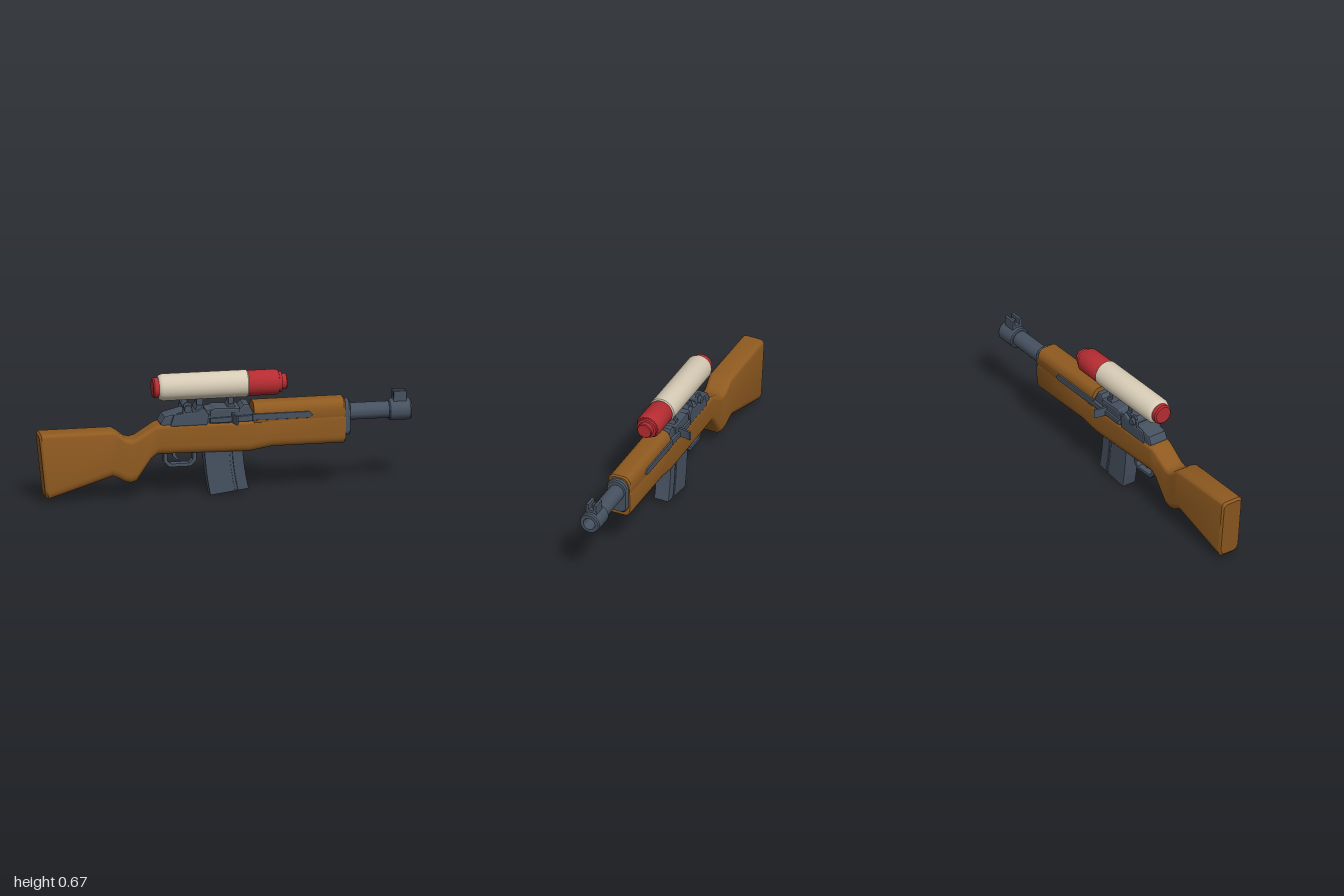
import * as THREE from 'three';
import { toCreasedNormals } from 'three/addons/utils/BufferGeometryUtils.js';

const material = (name, color) => {
  const m = new THREE.MeshStandardMaterial({ color });
  m.name = name;
  return m;
};

// Skins rounded sections along x. Station: [xTop, yTop, xBottom, yBottom, halfWidth]
function loft(stations, top, bottom, steps = 6) {
  const pos = [], idx = [];
  const corners = [[1, 1], [-1, 1], [-1, -1], [1, -1]];
  const n = corners.length * (steps + 1);
  for (const [xt, yt, xb, yb, w] of stations) {
    corners.forEach(([sz, sy], c) => {
      const [rz, ry] = sy > 0 ? top : bottom;
      for (let k = 0; k <= steps; k++) {
        const a = (c + k / steps) * Math.PI / 2;
        const z = sz * (w - rz) + rz * Math.cos(a);
        const y = (sy > 0 ? yt - ry : yb + ry) + ry * Math.sin(a);
        pos.push(xb + (xt - xb) * (y - yb) / (yt - yb), y, z);
      }
    });
  }
  const last = (stations.length - 1) * n;
  for (let i = 0; i < last; i += n) {
    for (let j = 0; j < n; j++) {
      const k = (j + 1) % n;
      idx.push(i + j, i + n + j, i + n + k, i + j, i + n + k, i + k);
    }
  }
  for (let j = 1; j < n - 1; j++) idx.push(0, j, j + 1, last, last + j + 1, last + j);
  const g = new THREE.BufferGeometry();
  g.setAttribute('position', new THREE.Float32BufferAttribute(pos, 3));
  g.setIndex(idx);
  return toCreasedNormals(g, 0.6);
}

// Round part turned about the x axis. Points: [x, radius]
function turned(points, y) {
  const g = new THREE.LatheGeometry(points.map(([x, r]) => new THREE.Vector2(r, x)), 40);
  g.rotateZ(-Math.PI / 2).translate(0, y, 0);
  return toCreasedNormals(g, 0.6);
}

// Side outline in xy, extruded evenly about a given z
function slab(points, half, bevel = 0.004, z = 0) {
  const shape = new THREE.Shape(points.map(([x, y]) => new THREE.Vector2(x, y)));
  const g = new THREE.ExtrudeGeometry(shape, {
    depth: 2 * (half - bevel), bevelEnabled: bevel > 0, bevelThickness: bevel,
    bevelSize: bevel, bevelOffset: -bevel, bevelSegments: 2, curveSegments: 8,
  });
  return g.translate(0, 0, z - half + bevel);
}

const box = (x0, x1, y0, y1, z0, z1) =>
  new THREE.BoxGeometry(x1 - x0, y1 - y0, z1 - z0)
    .translate((x0 + x1) / 2, (y0 + y1) / 2, (z0 + z1) / 2);

export function createModel() {
  const wood = material('wood brown', 0x8f5a20);
  const steel = material('blue grey', 0x465160);
  const cream = material('cream', 0xd6cbb5);
  const red = material('red', 0xb52c31);
  const model = new THREE.Group();
  const add = (name, geometry, mat) => {
    const mesh = new THREE.Mesh(geometry, mat);
    mesh.name = name;
    model.add(mesh);
  };

  // Wooden furniture
  add('stock', loft([
    [-1, 0.375, -0.965, 0.045, 0.056],
    [-0.99, 0.388, -0.95, 0.03, 0.064],
    [-0.6, 0.388, -0.605, 0.14, 0.066],
    [-0.575, 0.374, -0.575, 0.128, 0.065],
    [-0.535, 0.342, -0.535, 0.104, 0.062],
    [-0.505, 0.334, -0.505, 0.098, 0.06],
    [-0.475, 0.342, -0.475, 0.107, 0.06],
    [-0.37, 0.407, -0.4, 0.222, 0.064],
    [-0.345, 0.414, -0.365, 0.25, 0.066],
    [0.13, 0.414, 0.13, 0.243, 0.068],
    [0.25, 0.425, 0.25, 0.263, 0.069],
    [0.635, 0.43, 0.635, 0.263, 0.069],
    [0.642, 0.425, 0.642, 0.268, 0.065],
  ], [0.025, 0.025], [0.028, 0.045]), wood);
  add('handguard', loft([
    [0.15, 0.504, 0.15, 0.4, 0.068],
    [0.633, 0.504, 0.633, 0.4, 0.068],
    [0.642, 0.497, 0.642, 0.4, 0.062],
  ], [0.04, 0.055], [0.005, 0.005]), wood);

  // Barrel group
  add('foreEndCap', loft([
    [0.638, 0.49, 0.638, 0.298, 0.059],
    [0.662, 0.49, 0.662, 0.298, 0.059],
    [0.67, 0.484, 0.67, 0.304, 0.054],
  ], [0.05, 0.055], [0.035, 0.035]), steel);
  add('barrel', turned([[0.64, 0], [0.64, 0.045], [0.89, 0.045], [0.89, 0]], 0.42), steel);
  add('muzzle', turned([[0.88, 0], [0.88, 0.052], [0.886, 0.058], [0.992, 0.058], [1, 0.052],
    [1, 0.034], [0.985, 0.03], [0.93, 0.028], [0.93, 0]], 0.42), steel);
  add('frontSightBase', box(0.905, 0.975, 0.465, 0.492, -0.03, 0.03), steel);
  for (const s of [-1, 1])
    add('frontSightEar', slab([[0.905, 0.48], [0.975, 0.48], [0.975, 0.524], [0.905, 0.524]], 0.008, 0.002, s * 0.022), steel);
  add('frontSightPost', box(0.925, 0.955, 0.485, 0.514, -0.006, 0.006), steel);

  // Receiver
  add('receiver', slab([[-0.35, 0.39], [0.155, 0.39], [0.155, 0.445], [0.125, 0.502], [0.095, 0.502],
    [0.07, 0.475], [-0.08, 0.482], [-0.24, 0.478], [-0.33, 0.455], [-0.35, 0.42]], 0.056, 0.012), steel);
  add('receiverRearBlock', slab([[-0.3, 0.4], [-0.1, 0.4], [-0.09, 0.455], [-0.12, 0.498],
    [-0.15, 0.48], [-0.28, 0.465]], 0.066, 0.008), steel);
  add('bolt', slab([[-0.09, 0.4], [0.075, 0.4], [0.075, 0.485], [-0.06, 0.49], [-0.085, 0.475]], 0.062, 0.01), steel);

  // Rear sight with its side knobs
  add('rearSightKnobs', new THREE.CylinderGeometry(0.02, 0.02, 0.156, 20).rotateX(Math.PI / 2)
    .translate(-0.205, 0.495, 0), steel);
  for (const s of [-1, 1])
    add('rearSightEar', slab([[-0.235, 0.46], [-0.175, 0.46], [-0.185, 0.52], [-0.197, 0.53],
      [-0.213, 0.53], [-0.228, 0.515]], 0.007, 0.002, s * 0.056), steel);

  // Both sides: sliding rod and curved charging handle
  for (const s of [-1, 1]) {
    add('slideBlock', slab([[-0.085, 0.412], [0.16, 0.412], [0.16, 0.445], [-0.085, 0.438]], 0.018, 0.004, s * 0.056), steel);
    add('slideRod', slab([[0.14, 0.416], [0.445, 0.416], [0.464, 0.43], [0.445, 0.451], [0.14, 0.451]], 0.012, 0.004, s * 0.065), steel);
    const arc = new THREE.Shape();
    arc.moveTo(0.03, 0.06);
    arc.quadraticCurveTo(0.032, 0.11, 0.046, 0.135);
    arc.lineTo(0.055, 0.13);
    arc.quadraticCurveTo(0.043, 0.1, 0.044, 0.06);
    const handle = new THREE.ExtrudeGeometry(arc, { depth: 0.05, bevelEnabled: false, curveSegments: 8 });
    handle.rotateX(Math.PI / 2).translate(0, 0.461, 0);
    if (s < 0) handle.rotateX(Math.PI).translate(0, 0.872, 0);
    add('chargingHandle', handle, steel);
  }

  // Trigger group
  const guard = [[-0.325, 0.26], [-0.325, 0.197], [-0.297, 0.167], [-0.18, 0.167], [-0.15, 0.197], [-0.15, 0.26],
    [-0.17, 0.26], [-0.17, 0.205], [-0.188, 0.186], [-0.289, 0.186], [-0.305, 0.205], [-0.305, 0.26]];
  add('triggerGuard', slab(guard, 0.022, 0.004), steel);
  add('trigger', slab([[-0.285, 0.26], [-0.275, 0.22], [-0.25, 0.2], [-0.243, 0.208], [-0.258, 0.228], [-0.255, 0.26]], 0.01, 0.002), steel);

  // Curved magazine: two walls with a shallow groove between them
  const curve = (x0, x1, lift) => {
    const at = (x, t) => [x + 0.012 * t + 0.02 * t * t, 0.26 - t * (0.252 - (x + 0.11) * 0.135 - lift)];
    const ts = [0, 0.25, 0.5, 0.75, 1];
    return [...ts.map(t => at(x0, t)), ...ts.map(t => at(x1, 1 - t))];
  };
  add('magazineBody', slab(curve(-0.112, 0.022, 0), 0.042, 0.004), steel);
  add('magazineGroove', slab(curve(0.01, 0.06, 0.002), 0.035, 0), steel);
  add('magazineFront', slab(curve(0.036, 0.094, 0), 0.042, 0.004), steel);

  // Scope and mounts
  const sy = 0.602;
  add('scopeTube', turned([[-0.355, 0], [-0.355, 0.055], [-0.348, 0.065], [-0.33, 0.072],
    [0.12, 0.072], [0.126, 0.066], [0.126, 0]], sy), cream);
  add('scopeFrontSection', turned([[0.12, 0], [0.126, 0.065], [0.132, 0.068], [0.278, 0.068], [0.29, 0.06],
    [0.292, 0.055], [0.306, 0.055], [0.308, 0.042], [0.33, 0.042], [0.335, 0.038], [0.335, 0]], sy), red);
  add('scopeEyepiece', turned([[-0.385, 0], [-0.385, 0.046], [-0.378, 0.054], [-0.35, 0.054], [-0.35, 0]], sy), red);
  for (const [x, w] of [[-0.135, 0.017], [0.032, 0.014]]) {
    add('scopeMountPost', box(x - w, x + w, 0.46, 0.56, -0.034, 0.034), steel);
    add('scopeMountFoot', slab([[x - w - 0.02, 0.46], [x + w + 0.02, 0.46], [x + w, 0.505], [x - w, 0.505]], 0.045, 0.003), steel);
  }
  return model;
}
